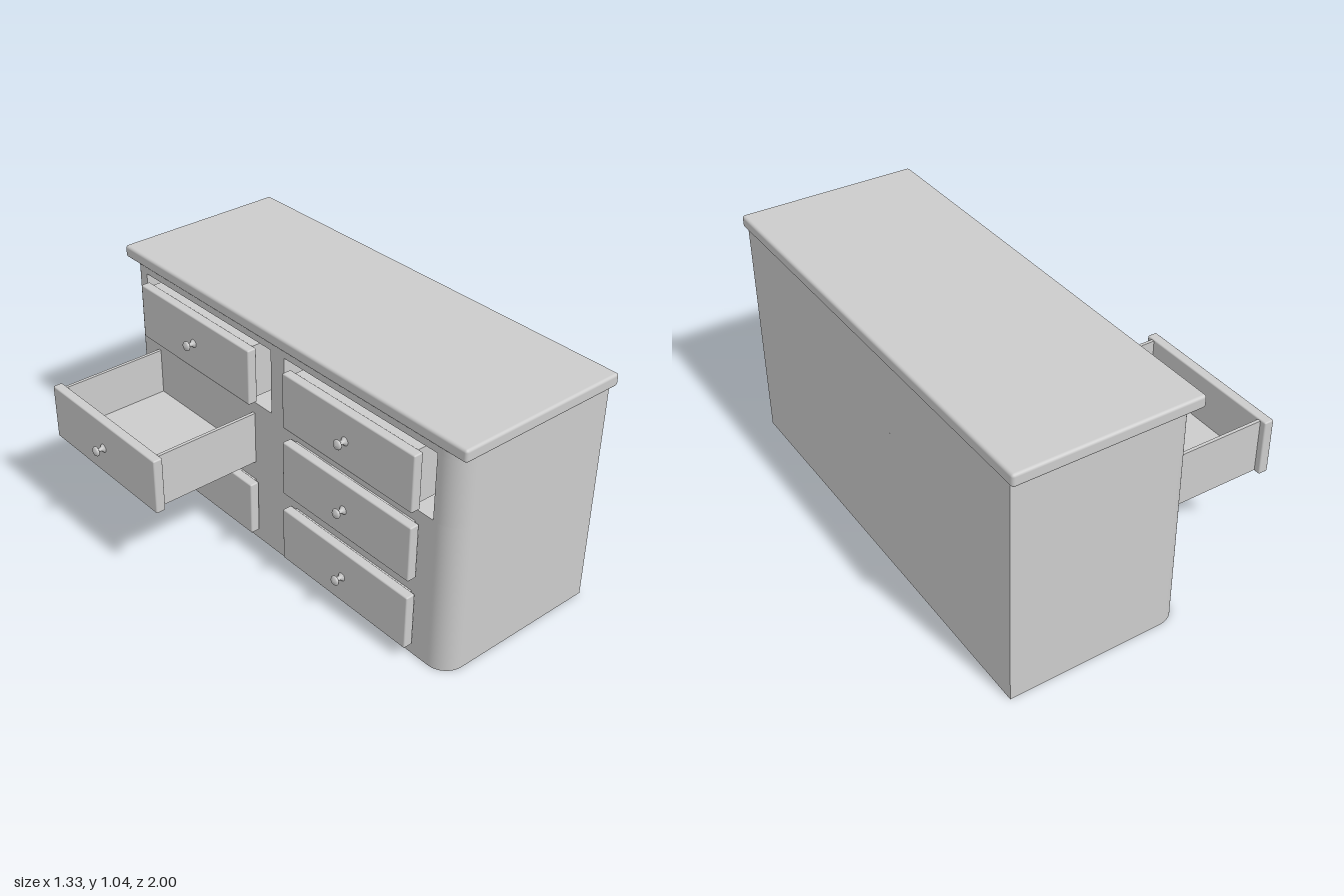
import * as THREE from 'three';
import { RoundedBoxGeometry } from 'three/addons/geometries/RoundedBoxGeometry.js';
import { toCreasedNormals } from 'three/addons/utils/BufferGeometryUtils.js';

const material = new THREE.MeshStandardMaterial({ color: 0xcccccc });
const FRONT = -0.11, BACK = 0.65, HALF = 0.97, R = 0.09;

function add(parent, name, geometry, x = 0, y = 0, z = 0) {
  const mesh = new THREE.Mesh(geometry, material);
  mesh.name = name;
  mesh.position.set(x, y, z);
  parent.add(mesh);
  return mesh;
}

// Box given by its limits, optionally with rounded edges
function block(parent, name, [x0, x1], [y0, y1], [z0, z1], radius = 0) {
  const size = [x1 - x0, y1 - y0, z1 - z0];
  const geometry = radius ? new RoundedBoxGeometry(...size, 2, radius) : new THREE.BoxGeometry(...size);
  return add(parent, name, geometry, (x0 + x1) / 2, (y0 + y1) / 2, (z0 + z1) / 2);
}

// Slice of the cabinet: plan with rounded front corners, optionally notched for drawers
function cabinetSlice(parent, name, y0, y1, notches = []) {
  const s = new THREE.Shape();
  s.moveTo(BACK, -HALF);
  s.lineTo(BACK, HALF);
  s.lineTo(FRONT + R, HALF);
  s.absarc(FRONT + R, HALF - R, R, Math.PI / 2, Math.PI, false);
  for (const [a, b] of notches) {
    s.lineTo(FRONT, b);
    s.lineTo(BACK - 0.03, b);
    s.lineTo(BACK - 0.03, a);
    s.lineTo(FRONT, a);
  }
  s.lineTo(FRONT, -HALF + R);
  s.absarc(FRONT + R, -HALF + R, R, Math.PI, Math.PI * 1.5, false);
  s.closePath();
  let g = new THREE.ExtrudeGeometry(s, { depth: y1 - y0, bevelEnabled: false, curveSegments: 8 });
  g.rotateX(Math.PI / 2);
  g = toCreasedNormals(g, 0.6);
  add(parent, name, g, 0, y1, 0);
}

// Turned knob pointing to -x
function knobGeometry() {
  const profile = [[0.018, 0], [0.016, 0.004], [0.009, 0.01], [0.007, 0.022], [0.012, 0.027],
    [0.02, 0.031], [0.021, 0.036], [0.017, 0.042], [0, 0.046]];
  const g = new THREE.LatheGeometry(profile.map(([r, h]) => new THREE.Vector2(r, h)), 16);
  return g.rotateZ(Math.PI / 2);
}

function drawer(y, z, pull) {
  const group = new THREE.Group();
  group.name = pull ? 'openDrawer' : 'drawer';
  const face = -0.16 - pull;
  const yBox = [y - 0.117, y + 0.117], zBox = [z - 0.33, z + 0.33];
  block(group, 'drawerFront', [face, face + 0.042], [y - 0.122, y + 0.122], [z - 0.357, z + 0.357], 0.006);
  add(group, 'knob', knobGeometry(), face, y, z);
  if (!pull) {
    block(group, 'drawerBox', [face + 0.04, 0.5], yBox, zBox);
    return group;
  }
  // Pulled-out tray with thin walls
  const xBox = [face + 0.04, FRONT + 0.02], t = 0.014;
  block(group, 'drawerFloor', xBox, [yBox[0], yBox[0] + 0.03], zBox);
  block(group, 'drawerSide', xBox, yBox, [zBox[0], zBox[0] + t]);
  block(group, 'drawerSide', xBox, yBox, [zBox[1] - t, zBox[1]]);
  return group;
}

export function createModel() {
  const model = new THREE.Group();
  model.name = 'dresser';

  // Cabinet, open around the upper drawers
  cabinetSlice(model, 'cabinetLower', 0, 0.67);
  cabinetSlice(model, 'cabinetUpper', 0.67, 0.955, [[0.04, 0.86], [-0.86, -0.04]]);
  cabinetSlice(model, 'cabinetRail', 0.955, 0.99);

  // Overhanging top board
  block(model, 'topBoard', [-0.118, 0.66], [0.985, 1.038], [-1, 1], 0.012);

  // Two columns of three drawers, one pulled out
  for (const z of [-0.475, 0.445]) {
    for (const y of [0.178, 0.5, 0.81]) {
      model.add(drawer(y, z, z < 0 && y === 0.5 ? 0.46 : 0));
    }
  }
  return model;
}
